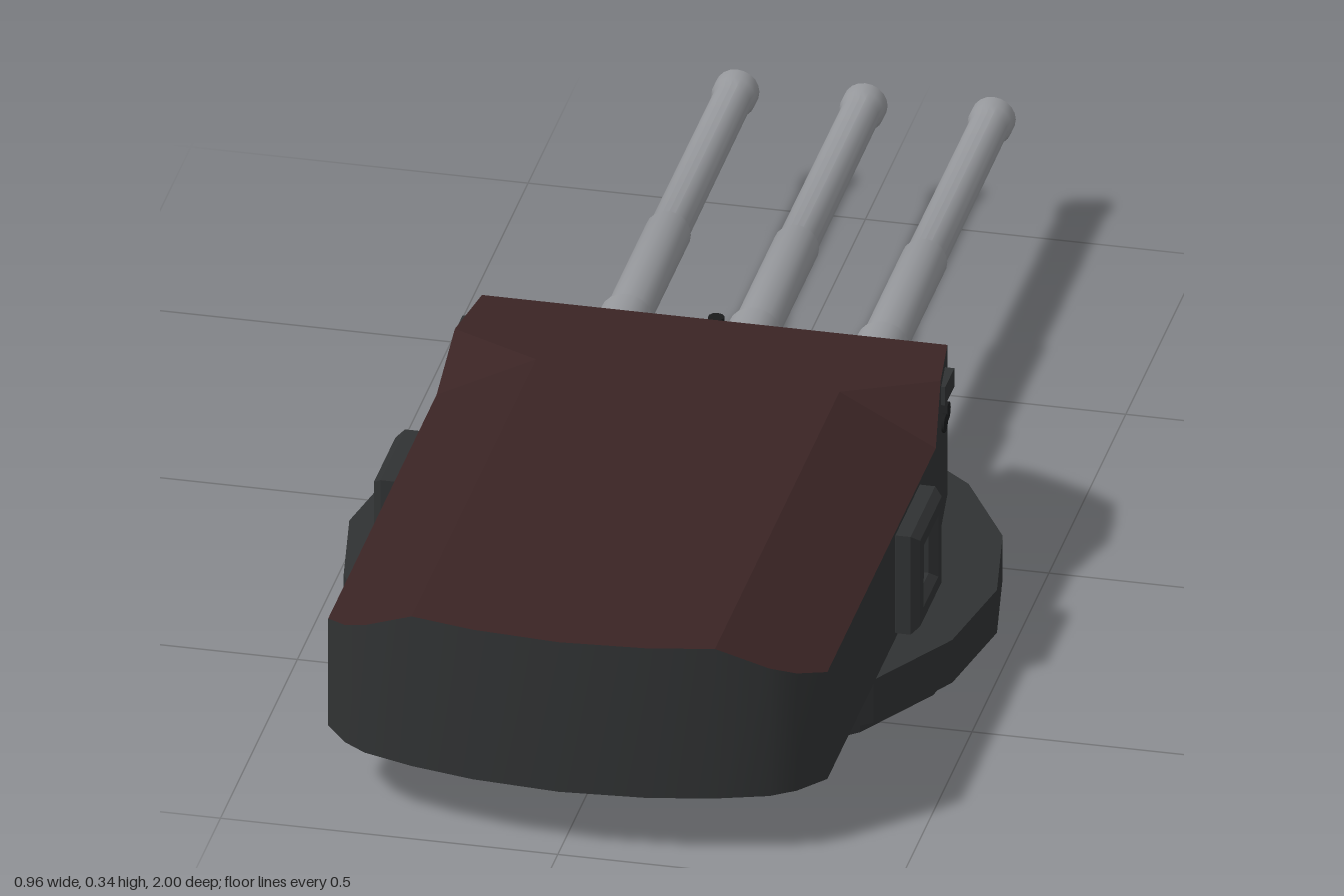
import * as THREE from 'three';
import { toCreasedNormals } from 'three/addons/utils/BufferGeometryUtils.js';

const mat = (name, color) => Object.assign(new THREE.MeshStandardMaterial({ color }), { name });

export function createModel() {
  const armour = mat('dark grey armour', 0x303233);
  const roofRed = mat('dark red roof', 0x3a2424);
  const steel = mat('gun steel', 0x96989c);
  const black = mat('opening black', 0x1a1b1c);
  const root = new THREE.Group();
  root.name = 'gunTurret';

  const add = (name, geo, material, x = 0, y = 0, z = 0, parent = root) => {
    const m = new THREE.Mesh(geo, material);
    m.name = name;
    m.position.set(x, y, z);
    parent.add(m);
    return m;
  };
  const flat = (geo) => {
    const g = geo.index ? geo.toNonIndexed() : geo;
    g.computeVertexNormals();
    return g;
  };

  // Turntable rings
  const ring = (name, r, y0, y1) => {
    const g = new THREE.CylinderGeometry(r, r, y1 - y0, 18).rotateY(Math.PI / 2);
    add(name, flat(g), armour, 0, (y0 + y1) / 2, 0.25);
  };
  ring('lowerRing', 0.447, 0, 0.03);
  ring('upperRing', 0.48, 0.03, 0.1);

  // Roof height: sloping sides at the rear, flat middle, glacis toward the guns
  const floorY = 0.1, roofY = 0.345, edgeZ = -0.02;
  const topY = (x, z) => {
    if (z < edgeZ) return roofY - 0.75 * (edgeZ - z);
    if (z < 0.12) return roofY;
    return roofY - 0.07 * Math.max(0, (Math.abs(x) - 0.225) / 0.145);
  };

  // Half plan of the gunhouse as [x, z], from rear centre round to front centre
  const rear = [[0, 0.995], [0.13, 0.985], [0.225, 0.965]];
  const side = [[0.3, 0.94], [0.335, 0.915], [0.37, 0.87], [0.37, 0.165]];
  const wing = [[0.36, 0.09]];
  const front = [
    [0.345, edgeZ], [0.32, -0.08], [0.265, -0.145], [0.235, -0.16],
    [0.235, -0.14], [0.215, -0.12], [0.165, -0.12], [0.145, -0.14],
    [0.145, -0.197], [0.045, -0.217], [0.045, -0.14], [0.025, -0.12],
  ];
  const inner = [0.225, 0.155];
  const mirror = (pts) => pts.map(([x, z]) => [-x, z]).reverse();
  const closed = (pts) => [...pts, ...mirror(pts).filter(([x]) => x !== 0)];

  const plate = (name, pts, heightAt, material) => {
    const shape = new THREE.Shape(pts.map(([x, z]) => new THREE.Vector2(x, -z)));
    const g = new THREE.ShapeGeometry(shape).rotateX(-Math.PI / 2);
    const p = g.attributes.position;
    for (let i = 0; i < p.count; i++) p.setY(i, heightAt(p.getX(i), p.getZ(i)));
    add(name, flat(g), material);
  };

  // Walls
  const outline = closed([...rear, ...side, ...wing, ...front]);
  const verts = [];
  outline.forEach(([ax, az], i) => {
    const [bx, bz] = outline[(i + 1) % outline.length];
    const a0 = [ax, floorY, az], a1 = [ax, topY(ax, az), az];
    const b0 = [bx, floorY, bz], b1 = [bx, topY(bx, bz), bz];
    verts.push(...a0, ...b0, ...b1, ...a0, ...b1, ...a1);
  });
  const wallGeo = new THREE.BufferGeometry();
  wallGeo.setAttribute('position', new THREE.Float32BufferAttribute(verts, 3));
  add('gunhouseWalls', toCreasedNormals(wallGeo, 0.35), armour);

  const under = new THREE.Shape(outline.map(([x, z]) => new THREE.Vector2(x, z)));
  add('gunhouseFloor', new THREE.ShapeGeometry(under).rotateX(Math.PI / 2), armour, 0, floorY);

  // Roof plates
  plate('roofFlat', closed([...rear, inner, ...wing, front[0]]), () => roofY, roofRed);
  plate('glacis', closed(front), topY, roofRed);
  const slope = [rear[2], ...side, inner];
  const step = [inner, side[3], wing[0]];
  for (const f of [(p) => p, mirror]) {
    plate('roofSideSlope', f(slope), topY, roofRed);
    plate('roofStep', f(step), topY, roofRed);
  }

  // Guns: sleeve, tapered barrel, flared muzzle and hollow bore
  const profile = [
    [0.04, 0.1], [0.04, 0.28], [0.034, 0.285], [0.034, 0.55], [0.03, 0.56], [0.029, 0.96],
    [0.033, 0.975], [0.033, 1.0], [0.02, 1.0], [0.018, 0.9], [0, 0.9],
  ].map(([r, l]) => new THREE.Vector2(r, l));
  const gunGeo = toCreasedNormals(new THREE.LatheGeometry(profile, 20).rotateX(-Math.PI / 2), 0.5);
  for (const x of [-0.19, 0, 0.19]) {
    add('gun', gunGeo, steel, x, 0.19, 0);
    add('gunPortSill', new THREE.BoxGeometry(0.09, 0.035, 0.09), armour, x, 0.1175, x ? -0.145 : -0.165);
  }

  // Side fittings, built on the left and turned round for the right
  const frame = new THREE.Shape([[-0.07, -0.07], [0.07, -0.07], [0.07, 0.07], [-0.07, 0.07]]
    .map(([a, b]) => new THREE.Vector2(a, b)));
  frame.holes.push(new THREE.Path([[-0.048, -0.05], [-0.048, 0.05], [0.048, 0.05], [0.048, -0.05]]
    .map(([a, b]) => new THREE.Vector2(a, b))));
  const frameGeo = new THREE.ExtrudeGeometry(frame, {
    depth: 0.022, bevelEnabled: true, bevelThickness: 0.012, bevelSize: 0.01, bevelSegments: 1,
  }).rotateY(Math.PI / 2);

  for (const s of [1, -1]) {
    const ry = s > 0 ? 0 : Math.PI;
    const place = (name, geo, m, x, y, z) => {
      add(name, geo, m, s * x, y, z).rotation.y = ry;
    };
    place('sideLockerFrame', frameGeo, armour, 0.371, 0.19, 0.35);
    place('sideLockerPanel', new THREE.BoxGeometry(0.008, 0.1, 0.1), black, 0.374, 0.19, 0.35);
    for (const dz of [-0.017, 0.017])
      place('sideLockerBar', new THREE.BoxGeometry(0.016, 0.1, 0.01), armour, 0.382, 0.19, 0.35 + dz);
    place('sideLockerCrossbar', new THREE.BoxGeometry(0.014, 0.01, 0.1), armour, 0.382, 0.215, 0.35);
    // Sight hood, vision ports and hatch on the forward cheek
    place('sightHood', new THREE.BoxGeometry(0.025, 0.03, 0.06), armour, 0.352, 0.315, 0.05);
    const port = new THREE.CylinderGeometry(0.014, 0.014, 0.016, 12).rotateZ(Math.PI / 2);
    place('visionPort', port, black, 0.353, 0.26, 0.06);
    place('visionPort', port, black, 0.332, 0.22, -0.05);
    const hatch = add('cheekHatch', new THREE.BoxGeometry(0.026, 0.035, 0.01), black, s * 0.281, 0.21, -0.128);
    hatch.rotation.y = s * -Math.PI * 0.76;
  }

  // Small cap on the glacis
  add('roofCap', new THREE.CylinderGeometry(0.012, 0.012, 0.012, 10), black, 0, 0.339, -0.03);

  return root;
}
